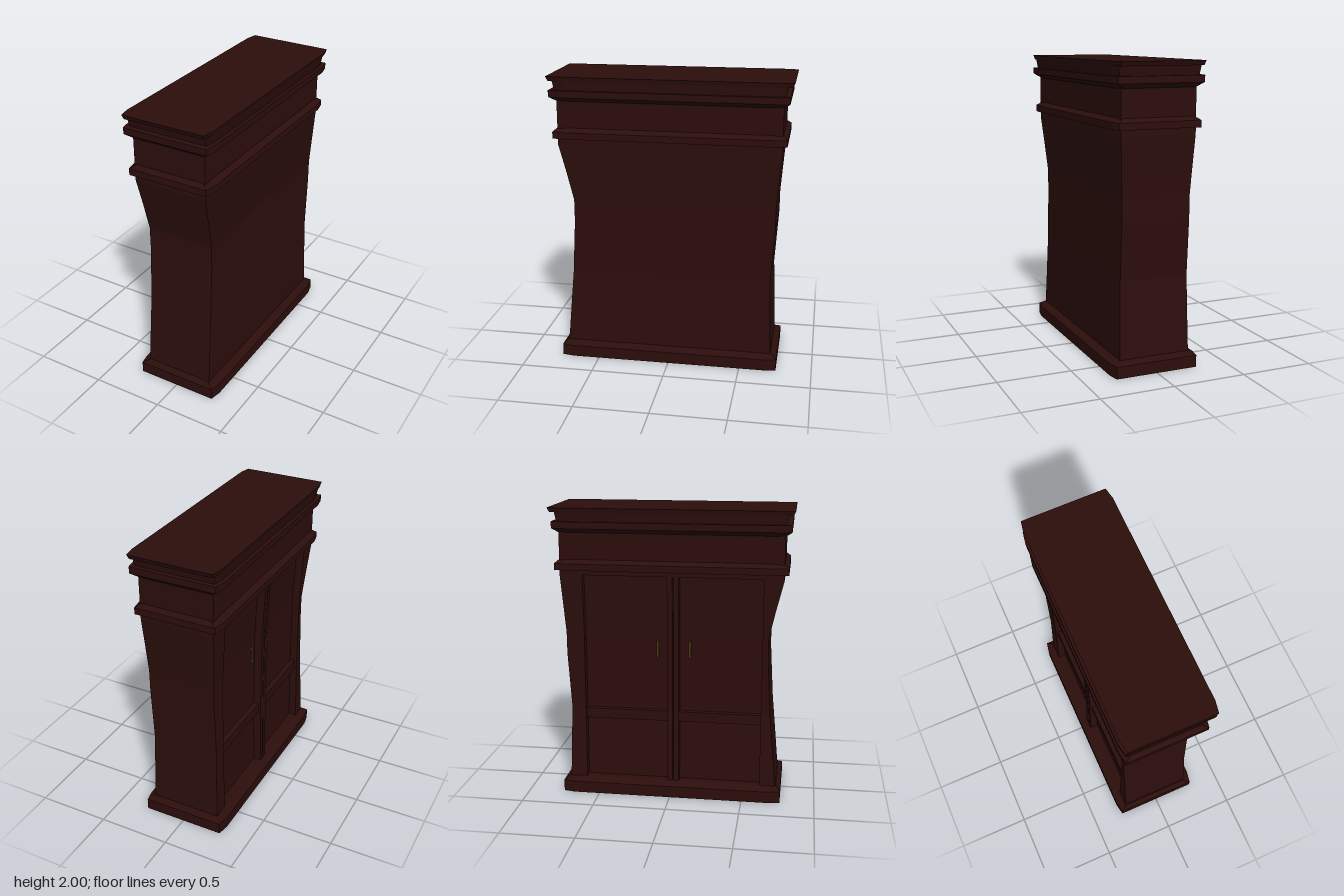
import * as THREE from 'three';

const wood = new THREE.MeshStandardMaterial({ color: 0x2c0e0c, flatShading: true });
const brass = new THREE.MeshStandardMaterial({ color: 0x4a3410 });

// Stack of rectangular sections [y, x0, x1, z0, z1]; optional cut corners
function loft(name, sections, cutX = 0, cutZ = 0) {
  const rings = sections.map(([y, x0, x1, z0, z1]) => (cutX
    ? [[x0 + cutX, z1], [x1 - cutX, z1], [x1, z1 - cutZ], [x1, z0 + cutZ],
      [x1 - cutX, z0], [x0 + cutX, z0], [x0, z0 + cutZ], [x0, z1 - cutZ]]
    : [[x0, z1], [x1, z1], [x1, z0], [x0, z0]]).map(([x, z]) => [x, y, z]));
  const pos = [];
  const tri = (a, b, c) => pos.push(...a, ...b, ...c);
  const n = rings[0].length, last = rings[rings.length - 1];
  for (let r = 0; r + 1 < rings.length; r++) {
    for (let i = 0; i < n; i++) {
      const j = (i + 1) % n, lo = rings[r], hi = rings[r + 1];
      tri(lo[i], lo[j], hi[j]);
      tri(lo[i], hi[j], hi[i]);
    }
  }
  for (let i = 1; i + 1 < n; i++) {
    tri(rings[0][0], rings[0][i + 1], rings[0][i]);
    tri(last[0], last[i], last[i + 1]);
  }
  const geo = new THREE.BufferGeometry();
  geo.setAttribute('position', new THREE.Float32BufferAttribute(pos, 3));
  geo.computeVertexNormals();
  const mesh = new THREE.Mesh(geo, wood);
  mesh.name = name;
  return mesh;
}

// Waisted body outline: y, half width, back z, front z
const outline = [
  [0.09, 0.245, -0.713, 0.73], [0.35, 0.24, -0.703, 0.707], [0.62, 0.236, -0.693, 0.682],
  [1.0, 0.236, -0.717, 0.66], [1.15, 0.236, -0.718, 0.66], [1.35, 0.246, -0.733, 0.705],
  [1.54, 0.256, -0.748, 0.752], [1.6, 0.256, -0.748, 0.752],
];
const RECESS = 0.055;
const DOOR_Z = 0.018; // where the two doors meet

// Upright on the door side that follows the body outline
const stile = (name, zBack, zFront, inset = 0) => loft(name, outline.map(([y, w, b, f]) =>
  [y, -w + inset, -w + RECESS, zBack ?? b, zFront ?? f]));

export function createModel() {
  const model = new THREE.Group();
  const ring = (name, rows) => model.add(loft(name,
    rows.map(([y, w, b, f]) => [y, -w, w, -b, f]), 0.015, 0.08));

  // Plinth
  ring('plinth', [[0, 0.3, 0.755, 0.765], [0.08, 0.3, 0.755, 0.765], [0.105, 0.25, 0.717, 0.735]]);

  // Carcass; its -x face carries the recessed door panels
  model.add(loft('carcass', outline.map(([y, w, b, f]) => [y, -w + RECESS, w, b, f])));

  // Door frame
  model.add(stile('backStile', null, -0.595));
  model.add(stile('frontStile', 0.62, null));
  model.add(stile('backDoorStile', DOOR_Z - 0.04, DOOR_Z - 0.003));
  model.add(stile('frontDoorStile', DOOR_Z + 0.003, DOOR_Z + 0.04));
  model.add(stile('doorGap', DOOR_Z - 0.004, DOOR_Z + 0.004, 0.015));
  model.add(loft('topRail', [[1.55, -0.255, -0.19, -0.6, 0.63], [1.6, -0.255, -0.19, -0.6, 0.63]]));
  for (const [z0, z1] of [[-0.6, DOOR_Z - 0.035], [DOOR_Z + 0.035, 0.625]]) {
    model.add(loft('middleRail', [[0.535, -0.22, -0.17, z0, z1], [0.605, -0.22, -0.17, z0, z1]]));
  }

  // Pull handles beside the meeting stiles
  for (const side of [-1, 1]) {
    const handle = new THREE.Group();
    handle.name = 'handle';
    const bar = new THREE.Mesh(new THREE.BoxGeometry(0.012, 0.12, 0.018), brass);
    bar.name = 'handleBar';
    bar.position.x = -0.022;
    handle.add(bar);
    for (const y of [-0.045, 0.045]) {
      const post = new THREE.Mesh(new THREE.BoxGeometry(0.024, 0.014, 0.014), brass);
      post.name = 'handlePost';
      post.position.set(-0.008, y, 0);
      handle.add(post);
    }
    handle.position.set(-0.18, 1.045, DOOR_Z + side * 0.11);
    model.add(handle);
  }

  // Lower moulding, frieze and cornice
  ring('lowerMoulding', [[1.585, 0.295, 0.778, 0.782], [1.63, 0.295, 0.778, 0.782], [1.655, 0.257, 0.749, 0.753]]);
  model.add(loft('frieze', [[1.6, -0.256, 0.256, -0.748, 0.752], [1.87, -0.256, 0.256, -0.748, 0.752]]));
  ring('corniceRing', [[1.835, 0.262, 0.752, 0.756], [1.865, 0.308, 0.787, 0.794], [1.91, 0.31, 0.787, 0.797]]);
  ring('corniceNeck', [[1.9, 0.285, 0.755, 0.758], [1.975, 0.295, 0.768, 0.773]]);
  ring('topBoard', [[1.97, 0.295, 0.8, 0.8], [2, 0.303, 0.813, 0.813]]);
  return model;
}
